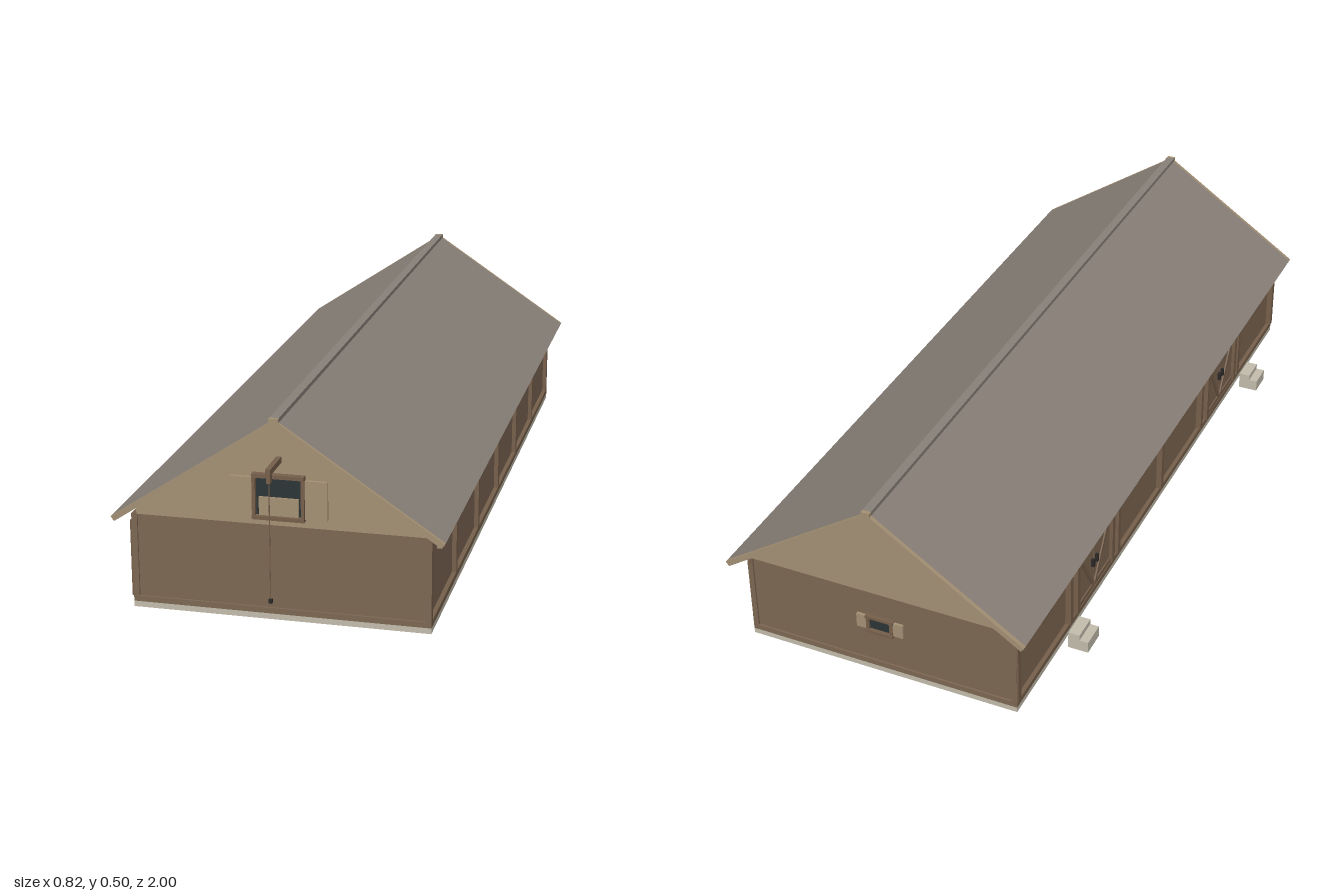
import * as THREE from 'three';

const mat = (name, color) => Object.assign(new THREE.MeshStandardMaterial({ color }), { name });

export function createModel() {
  const M = {
    wall: mat('wall boards', 0x7d6753),
    timber: mat('timber frame', 0x765f4b),
    tan: mat('pale boards', 0xa49074),
    roof: mat('roof sheet', 0x888078),
    stone: mat('stone', 0xc2bcab),
    glass: mat('dark glass', 0x2c3435),
    iron: mat('iron', 0x2a2826),
  };
  const model = new THREE.Group();
  model.name = 'barn';

  // Box given by its extents
  const box = (parent, name, m, x0, x1, y0, y1, z0, z1) => {
    const mesh = new THREE.Mesh(new THREE.BoxGeometry(x1 - x0, y1 - y0, z1 - z0), m);
    mesh.position.set((x0 + x1) / 2, (y0 + y1) / 2, (z0 + z1) / 2);
    mesh.name = name;
    parent.add(mesh);
    return mesh;
  };
  // Outline in x,y extruded from z0 to z1
  const slab = (name, m, pts, z0, z1) => {
    const shape = new THREE.Shape(pts.map(([x, y]) => new THREE.Vector2(x, y)));
    const mesh = new THREE.Mesh(new THREE.ExtrudeGeometry(shape, { depth: z1 - z0, bevelEnabled: false }), m);
    mesh.position.z = z0;
    mesh.name = name;
    model.add(mesh);
  };
  const group = (name, x, y, z, ry = 0) => {
    const g = new THREE.Group();
    g.name = name;
    g.position.set(x, y, z);
    g.rotation.y = ry;
    model.add(g);
    return g;
  };

  const CX = 0.0145, L = -0.343, R = 0.372, F = 0.911, B = -0.963;

  // Foundation, walls and gables
  box(model, 'foundation', M.stone, L, R, 0, 0.014, B, F);
  box(model, 'walls', M.wall, L + 0.011, R - 0.011, 0.014, 0.232, B + 0.005, F - 0.005);
  slab('gableBlock', M.tan, [[L + 0.011, 0.232], [R - 0.011, 0.232], [R - 0.011, 0.253], [CX, 0.485], [L + 0.011, 0.253]], B + 0.005, F - 0.005);

  // Sills and corner posts on the end walls
  for (const [z0, z1] of [[F - 0.006, F], [B, B + 0.006]]) {
    box(model, 'endSill', M.wall, L, R, 0.014, 0.028, z0, z1);
    box(model, 'endPost', M.wall, L, L + 0.014, 0.028, 0.232, z0, z1);
    box(model, 'endPost', M.wall, R - 0.014, R, 0.028, 0.232, z0, z1);
  }

  // Side frames: rails and seven posts
  const step = (F - B - 0.018) / 6;
  for (const s of [-1, 1]) {
    const a = s > 0 ? R - 0.012 : L, b = s > 0 ? R : L + 0.012;
    box(model, 'sideSill', M.timber, a, b, 0.014, 0.028, B, F);
    box(model, 'topRail', M.timber, a, b, 0.217, 0.234, B, F);
    for (let i = 0; i <= 6; i++) {
      const z = F - 0.009 - i * step;
      box(model, 'sidePost', M.timber, s > 0 ? a : a - 0.004, b, 0.028, 0.217, z - 0.008, z + 0.008);
    }
  }

  // Roof slopes with pale boards along both ends
  const roofTop = 0.5, slope = 0.667, half = 0.394;
  for (const s of [-1, 1]) {
    const pts = [[CX, roofTop], [CX + s * half, roofTop - slope * half],
      [CX + s * (half - 0.008), roofTop - slope * half - 0.011], [CX, roofTop - 0.016]];
    slab('roofSlope', M.roof, pts, -0.99, 0.94);
    slab('bargeboard', M.tan, pts, 0.94, 0.949);
    slab('bargeboard', M.tan, pts, -1, -0.99);
  }
  box(model, 'ridgeCap', M.roof, CX - 0.011, CX + 0.011, 0.487, 0.503, -0.99, 0.94);
  for (const [z0, z1] of [[0.94, 0.95], [-1, -0.99]])
    box(model, 'ridgeEnd', M.tan, CX - 0.011, CX + 0.011, 0.487, 0.503, z0, z1);

  // Small shuttered window, facing +z before turning
  const addWindow = (x, y, z, ry) => {
    const g = group('window', x, y, z, ry);
    box(g, 'glass', M.glass, -0.03, 0.03, -0.017, 0.017, 0, 0.004);
    for (const s of [-1, 1]) {
      box(g, 'jamb', M.timber, s * 0.031 - 0.004, s * 0.031 + 0.004, -0.02, 0.02, 0, 0.01);
      box(g, 'shutter', M.tan, s * 0.0485 - 0.0135, s * 0.0485 + 0.0135, -0.019, 0.019, 0, 0.007);
    }
    box(g, 'lintel', M.timber, -0.037, 0.037, 0.016, 0.023, 0, 0.011);
    box(g, 'windowSill', M.timber, -0.037, 0.037, -0.023, -0.016, 0, 0.014);
  };
  const side = Math.PI / 2, spacing = 0.3025;
  for (let i = 0; i < 5; i++) addWindow(R - 0.011, 0.184, 0.733 - i * spacing, side);
  for (const z of [0.733, 0.123, -0.177, -0.79]) addWindow(L + 0.011, 0.184, z, -side);
  addWindow(CX, 0.143, B + 0.005, Math.PI);

  // Double doors with slanted braces
  for (const z of [0.448, -0.488]) {
    const g = group('doubleDoor', L + 0.011, 0, z, -side);
    for (const s of [-1, 1]) {
      const w = s * 0.053;
      box(g, 'doorLeaf', M.wall, w - 0.052, w + 0.052, 0.03, 0.202, 0, 0.006);
      box(g, 'doorPost', M.timber, s * 0.113 - 0.008, s * 0.113 + 0.008, 0.028, 0.217, 0, 0.015);
      for (const y of [0.036, 0.194])
        box(g, 'doorBatten', M.timber, w - 0.052, w + 0.052, y - 0.006, y + 0.006, 0.006, 0.01);
      const brace = box(g, 'doorBrace', M.timber, -0.005, 0.005, -0.085, 0.085, 0.006, 0.01);
      brace.position.set(w, 0.115, 0.008);
      brace.rotation.z = -s * Math.atan2(0.09, 0.146);
      box(g, 'doorHandle', M.iron, s * 0.012 - 0.004, s * 0.012 + 0.004, 0.1, 0.122, 0.006, 0.014);
    }
    box(g, 'doorLintel', M.timber, -0.121, 0.121, 0.202, 0.217, 0, 0.015);
  }

  // Stone steps
  for (const z of [0.603, -0.667]) {
    box(model, 'lowerStep', M.stone, -0.414, -0.391, 0, 0.031, z - 0.034, z + 0.034);
    box(model, 'upperStep', M.stone, -0.391, -0.361, 0, 0.046, z - 0.034, z + 0.034);
  }

  // Loft hatch in the front gable
  const h = group('loftHatch', CX, 0, F - 0.005);
  box(h, 'hatchOpening', M.glass, -0.054, 0.054, 0.258, 0.35, 0, 0.003);
  box(h, 'halfDoor', M.tan, -0.047, 0.047, 0.258, 0.302, 0.003, 0.008);
  for (const s of [-1, 1]) {
    box(h, 'hatchJamb', M.timber, s * 0.058 - 0.004, s * 0.058 + 0.004, 0.25, 0.352, 0, 0.014);
    box(h, 'hatchShutter', M.tan, s * 0.0885 - 0.0265, s * 0.0885 + 0.0265, 0.255, 0.348, 0, 0.008);
  }
  box(h, 'hatchLintel', M.timber, -0.062, 0.062, 0.35, 0.359, 0, 0.016);
  box(h, 'hatchSill', M.timber, -0.062, 0.062, 0.249, 0.258, 0, 0.016);

  // Hoist beam, pulley, rope and weight
  box(model, 'hoistBeam', M.timber, CX - 0.006, CX + 0.006, 0.386, 0.4, F - 0.02, 1);
  box(model, 'pulleyBlock', M.timber, CX - 0.005, CX + 0.005, 0.366, 0.386, 0.984, 0.998);
  const rope = new THREE.Mesh(new THREE.CylinderGeometry(0.0013, 0.0013, 0.285, 6), M.timber);
  rope.position.set(CX, 0.2275, 0.991);
  rope.name = 'rope';
  model.add(rope);
  box(model, 'hoistWeight', M.iron, CX - 0.004, CX + 0.004, 0.076, 0.086, 0.987, 0.995);

  return model;
}
